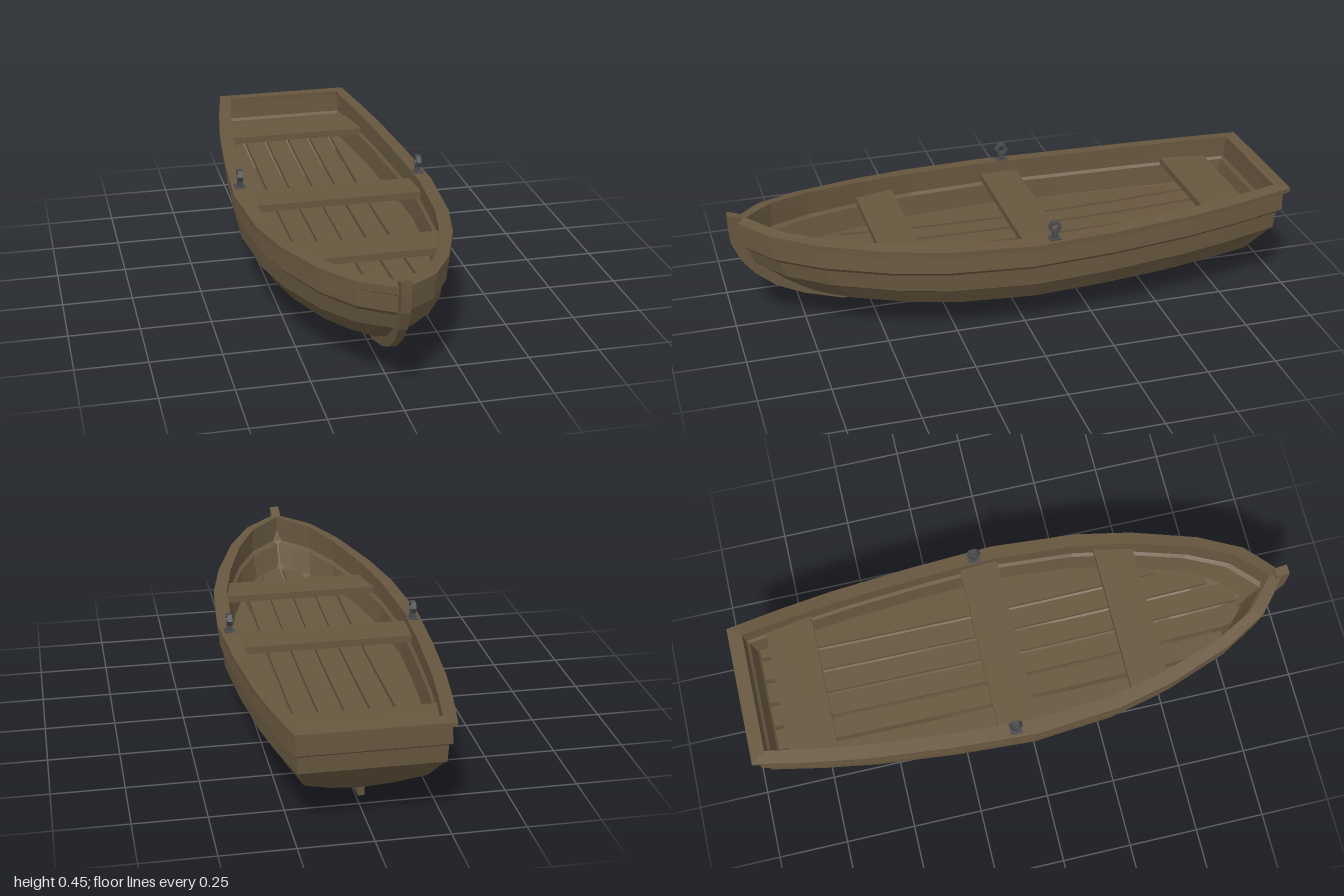
import * as THREE from 'three';

const wood = new THREE.MeshStandardMaterial({ color: 0x67573f, flatShading: true });
wood.name = 'weathered wood';
const iron = new THREE.MeshStandardMaterial({ color: 0x484a4c, flatShading: true });
iron.name = 'dark iron';

// Plan shape of the boat: [fraction of length from the stern, fraction of half beam], bow first
const PLAN = [[1, 0], [0.975, 0.17], [0.945, 0.36], [0.87, 0.59], [0.755, 0.81], [0.655, 0.93],
  [0.5, 1], [0.35, 0.955], [0.2, 0.88], [0.1, 0.8], [0, 0.7]];

// A level is one waterline: [half beam, bow z, stern z, y amidships, y at bow, y at stern]
function ring([w, zb, zs, ym, yb, ys]) {
  const side = PLAN.map(([s, f]) => [w * f, sheer(ym, yb, ys, s), zs + (zb - zs) * s]);
  const other = side.slice(1).reverse().map(([x, y, z]) => [-x, y, z]);
  return side.concat(other);
}

// Height along a level that rises towards both ends
function sheer(ym, yb, ys, s) {
  const u = 2 * s - 1;
  return ym + ((u > 0 ? yb : ys) - ym) * u * u;
}

// Skin joining consecutive closed rings
function skin(name, rings) {
  const pos = [];
  for (let k = 0; k < rings.length - 1; k++) {
    const a = rings[k], b = rings[k + 1], n = a.length;
    for (let i = 0; i < n; i++) {
      const j = (i + 1) % n;
      pos.push(...a[i], ...a[j], ...b[j], ...a[i], ...b[j], ...b[i]);
    }
  }
  const g = new THREE.BufferGeometry();
  g.setAttribute('position', new THREE.Float32BufferAttribute(pos, 3));
  g.computeVertexNormals();
  return mesh(name, g, wood);
}

// Faces outwards where levels rise and inwards where they descend
const loft = (name, levels) => skin(name, levels.map(ring));

function mesh(name, geometry, material) {
  const m = new THREE.Mesh(geometry, material);
  m.name = name;
  return m;
}

// Half beam of a level at a given z
function halfWidth([w, zb, zs], z) {
  const s = (z - zs) / (zb - zs);
  for (let i = 1; i < PLAN.length; i++) {
    const [s1, f1] = PLAN[i - 1], [s0, f0] = PLAN[i];
    if (s >= s0 && s <= s1) return w * (f0 + (f1 - f0) * (s - s0) / (s1 - s0));
  }
  return s > 1 ? 0 : w * 0.7;
}

// Horizontal board from [x, z] corners, with its top at y
function board(name, corners, top, thick) {
  const shape = new THREE.Shape(corners.map(([x, z]) => new THREE.Vector2(x, -z)));
  const g = new THREE.ExtrudeGeometry(shape, { depth: thick, bevelEnabled: false });
  g.rotateX(-Math.PI / 2).translate(0, top - thick, 0);
  return mesh(name, g, wood);
}

// Floor plank between a and b from the centreline, bent and trimmed to a level
function plank(side, a, b, level) {
  const [, zb, zs, ym, yb, ys] = level;
  const rings = [];
  for (let i = 0; i <= 40; i++) {
    const s = 0.004 + i * 0.0245, z = zs + (zb - zs) * s;
    const w = halfWidth(level, z) - 0.003;
    if (w < a + 0.002) continue;
    const y = sheer(ym, yb, ys, s), x = Math.min(b, w);
    const section = [[x, y], [a, y], [a, y - 0.016], [x, y - 0.016]].map(([px, py]) => [side * px, py, z]);
    rings.push(side > 0 ? section : section.reverse());
  }
  const cap = (r) => r.map(() => r[0]);
  return skin('floorPlank', [cap(rings[0]), ...rings, cap(rings[rings.length - 1])]);
}

// Plate drawn in the z/y plane, centred on x = 0
function sidePlate(shape, width) {
  const g = new THREE.ExtrudeGeometry(shape, { depth: width, bevelEnabled: false });
  return g.translate(0, 0, -width / 2).rotateY(-Math.PI / 2);
}

function oarlock(x) {
  const group = new THREE.Group();
  group.name = x > 0 ? 'leftOarlock' : 'rightOarlock';
  const hex = (r) => Array.from({ length: 6 }, (_, i) =>
    new THREE.Vector2(r * Math.cos(i * Math.PI / 3), r * Math.sin(i * Math.PI / 3)));
  const shape = new THREE.Shape(hex(0.024));
  shape.holes.push(new THREE.Path(hex(0.014)));
  const loop = mesh('oarlockRing', sidePlate(shape, 0.018), iron);
  loop.position.y = 0.409;
  const post = mesh('oarlockPost', new THREE.BoxGeometry(0.018, 0.032, 0.018), iron);
  post.position.y = 0.375;
  const base = mesh('oarlockBase', new THREE.BoxGeometry(0.036, 0.005, 0.042), iron);
  base.position.y = 0.366;
  group.add(loop, post, base);
  group.position.set(x, 0, -0.08);
  return group;
}

export function createModel() {
  const boat = new THREE.Group();
  boat.name = 'rowingBoat';

  // Outer hull: V bottom and two overlapping strakes with sloping undersides
  boat.add(loft('hull', [
    [0, 0.6, -0.785, 0.024, 0.075, 0.08],
    [0.15, 0.68, -0.8, 0.05, 0.095, 0.095],
    [0.29, 0.82, -0.86, 0.122, 0.17, 0.145],
    [0.33, 0.9, -0.935, 0.188, 0.235, 0.222],
    [0.344, 0.925, -0.95, 0.198, 0.252, 0.235],
    [0.347, 0.95, -0.957, 0.265, 0.31, 0.297],
    [0.359, 0.97, -0.976, 0.278, 0.327, 0.31],
    [0.352, 0.974, -0.978, 0.336, 0.386, 0.374],
  ]));

  // Gunwale rail capping the sides and transom
  boat.add(loft('gunwale', [
    [0.345, 0.967, -0.97, 0.334, 0.384, 0.372],
    [0.367, 0.985, -1, 0.342, 0.394, 0.38],
    [0.367, 0.985, -1, 0.362, 0.422, 0.396],
    [0.315, 0.935, -0.95, 0.367, 0.426, 0.399],
    [0.315, 0.935, -0.95, 0.34, 0.398, 0.375],
  ]));

  // Inner lining, stepped like the outer strakes
  const wall = [0.325, 0.935, -0.945, 0.285, 0.33, 0.315];
  const floor = [0.307, 0.865, -0.918, 0.2, 0.238, 0.226];
  boat.add(loft('innerLining', [
    [0.325, 0.935, -0.95, 0.34, 0.398, 0.375],
    wall,
    [0.315, 0.915, -0.935, 0.275, 0.318, 0.306],
    floor,
    [0.278, 0.8, -0.85, 0.135, 0.182, 0.158],
    [0.145, 0.66, -0.79, 0.064, 0.11, 0.108],
    [0, 0.58, -0.77, 0.038, 0.09, 0.094],
  ]));

  // Keel and stem as one curved timber, wider towards the stem head
  const timber = [[1, 0.45], [1, 0.4], [0.995, 0.34], [0.965, 0.27], [0.92, 0.212], [0.85, 0.152],
    [0.75, 0.103], [0.62, 0.063], [0.3, 0.022], [0.1, 0.004], [-0.05, 0], [-0.4, 0.018], [-0.78, 0.047],
    [-0.785, 0.085], [-0.4, 0.045], [0, 0.032], [0.3, 0.045], [0.58, 0.08], [0.7, 0.13], [0.8, 0.19],
    [0.87, 0.25], [0.92, 0.33], [0.945, 0.4], [0.955, 0.435]];
  const keel = sidePlate(new THREE.Shape(timber.map((p) => new THREE.Vector2(...p))), 1);
  const p = keel.attributes.position;
  for (let i = 0; i < p.count; i++) p.setX(i, p.getX(i) * (0.02 + 0.034 * p.getY(i)));
  keel.computeVertexNormals();
  boat.add(mesh('keelAndStem', keel, wood));

  // Six floor planks
  for (const side of [-1, 1]) {
    for (const [a, b] of [[0.007, 0.083], [0.097, 0.171], [0.185, 0.4]]) {
      boat.add(plank(side, a, b, floor));
    }
  }

  // Three thwarts fitted between the sides
  for (const [name, z0, z1] of [['sternSeat', -0.87, -0.7], ['middleSeat', -0.135, 0.005],
    ['bowSeat', 0.36, 0.5]]) {
    const w0 = halfWidth(wall, z0), w1 = halfWidth(wall, z1);
    boat.add(board(name, [[-w0, z0], [w0, z0], [w1, z1], [-w1, z1]], 0.32, 0.026));
  }

  boat.add(oarlock(0.333), oarlock(-0.333));
  return boat;
}
